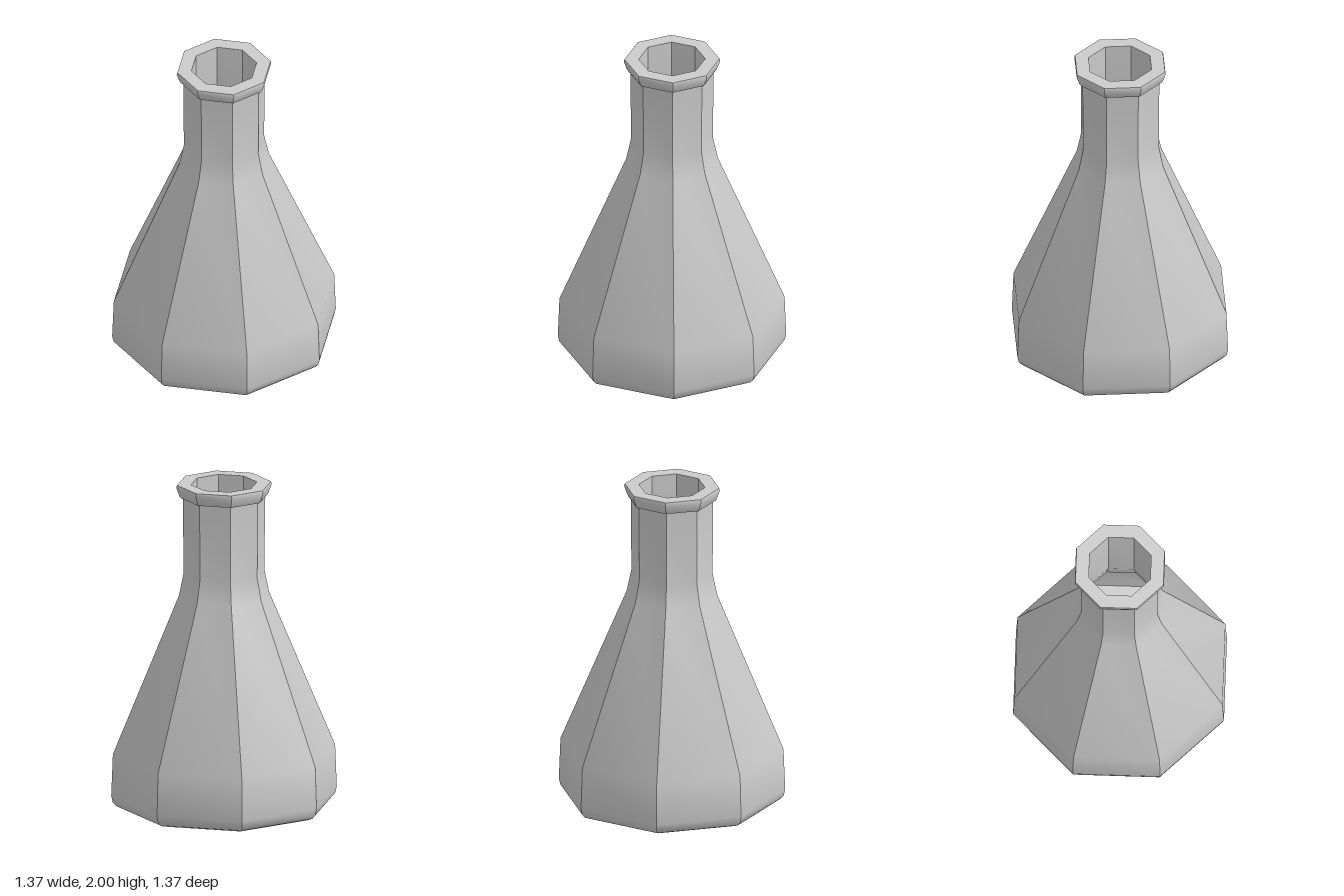
import * as THREE from 'three';
import { toCreasedNormals } from 'three/addons/utils/BufferGeometryUtils.js';

const SIDES = 8;
const material = new THREE.MeshStandardMaterial({ color: 0xcccccc });

// Eight-sided turned part from [radius, height] pairs
function turned(name, profile) {
  const points = profile.map(([r, y]) => new THREE.Vector2(r, y));
  const geometry = toCreasedNormals(new THREE.LatheGeometry(points, SIDES), 0.6);
  const mesh = new THREE.Mesh(geometry, material);
  mesh.name = name;
  return mesh;
}

export function createModel() {
  const group = new THREE.Group();
  group.name = 'flask';

  // Outer wall: rounded foot, conical body, shoulder and neck
  group.add(turned('body', [
    [0, 0], [0.62, 0], [0.655, 0.015], [0.677, 0.04], [0.686, 0.08],
    [0.676, 0.34], [0.275, 1.31], [0.246, 1.45], [0.25, 1.93],
  ]));

  // Flared lip around the mouth
  group.add(turned('lip', [
    [0.2, 1.92], [0.265, 1.92], [0.273, 1.935], [0.29, 1.985], [0.286, 2], [0.2, 2],
  ]));

  // Hollow inside, running down from the mouth to the floor
  group.add(turned('innerWall', [
    [0.2, 2], [0.2, 1.45], [0.23, 1.31], [0.62, 0.34], [0.63, 0.06], [0, 0.06],
  ]));

  return group;
}
